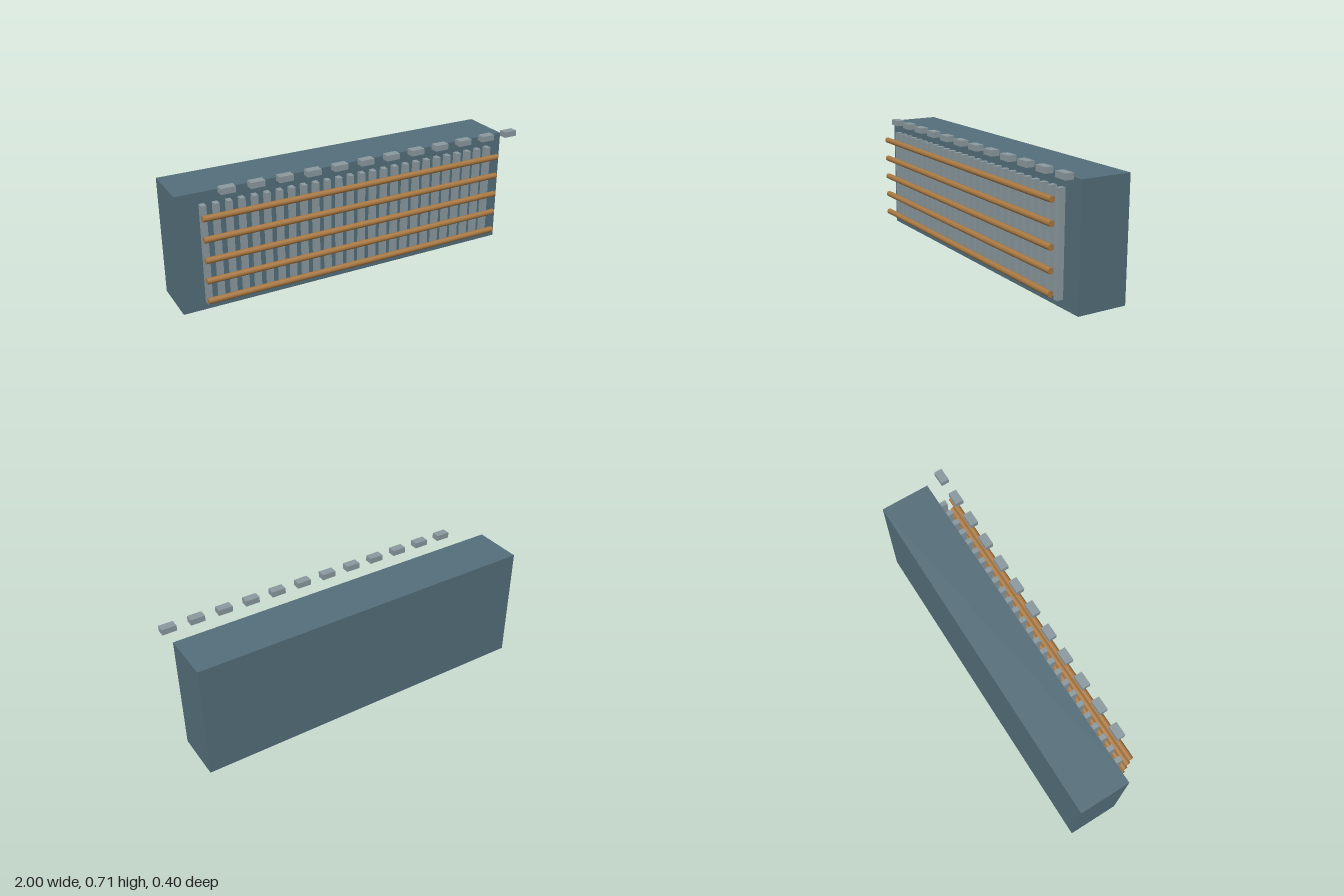
import * as THREE from 'three';

const material = (name, color) => {
  const m = new THREE.MeshStandardMaterial({ color });
  m.name = name;
  return m;
};

// Box given by its centre x and its y and z ranges
function box(name, x, width, [y0, y1], [z0, z1], mat) {
  const mesh = new THREE.Mesh(new THREE.BoxGeometry(width, y1 - y0, z1 - z0), mat);
  mesh.name = name;
  mesh.position.set(x, (y0 + y1) / 2, (z0 + z1) / 2);
  return mesh;
}

export function createModel() {
  const model = new THREE.Group();
  model.name = 'slattedWall';
  const slate = material('slate', 0x546e7a);
  const paleGrey = material('paleGrey', 0x8a999f);
  const bronze = material('bronze', 0xa87842);

  // Solid main block
  model.add(box('mainBlock', -0.013, 1.974, [0, 0.662], [-0.198, 0.086], slate));

  // Row of upright slats standing just off the front
  const slats = new THREE.Group();
  slats.name = 'slats';
  for (let i = 0; i < 26; i++) {
    slats.add(box('slat', -0.868 + i * 0.069, 0.028, [0.055, 0.607], [0.1, 0.136], paleGrey));
  }
  model.add(slats);

  // Horizontal rods in front of the slats
  const rods = new THREE.Group();
  rods.name = 'rods';
  const rodGeometry = new THREE.CylinderGeometry(0.0165, 0.0165, 1.778, 24).rotateZ(Math.PI / 2);
  for (let i = 0; i < 5; i++) {
    const rod = new THREE.Mesh(rodGeometry, bronze);
    rod.name = 'rod';
    rod.position.set(-0.006, 0.102 + i * 0.1148, 0.183);
    rods.add(rod);
  }
  model.add(rods);

  // Floating row of small blocks above the front edge
  const blocks = new THREE.Group();
  blocks.name = 'topBlocks';
  for (let i = 0; i < 12; i++) {
    blocks.add(box('topBlock', -0.757 + i * 0.1561, 0.079, [0.674, 0.706], [0.151, 0.197], paleGrey));
  }
  model.add(blocks);

  return model;
}
